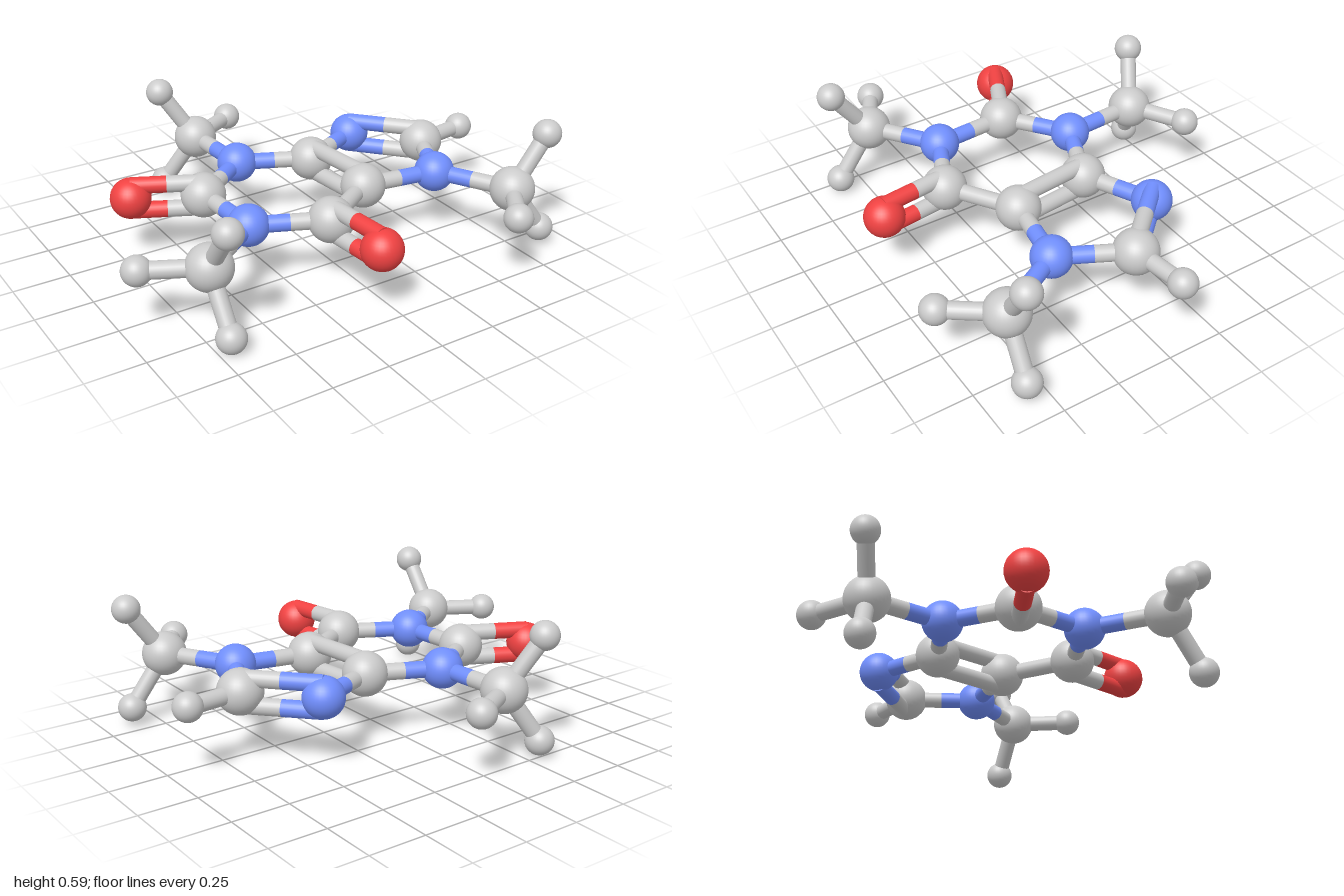
import * as THREE from 'three';

const grey = new THREE.MeshStandardMaterial({ color: 0xcccccc });
const blue = new THREE.MeshStandardMaterial({ color: 0x718fff });
const red = new THREE.MeshStandardMaterial({ color: 0xf04242 });

// Radius and material of each kind of atom
const kinds = {
  carbon: { radius: 0.097, material: grey },
  nitrogen: { radius: 0.088, material: blue },
  oxygen: { radius: 0.088, material: red },
  hydrogen: { radius: 0.062, material: grey },
};

const STICK = 0.036;   // stick radius
const SPREAD = 0.058;  // vertical offset of each stick in a double bond

// Atoms: kind, x, y, z
const atoms = {
  c2: ['carbon', -0.43, 0.295, -0.105],
  n1: ['nitrogen', -0.155, 0.3, -0.305],
  n3: ['nitrogen', -0.405, 0.295, 0.235],
  c6: ['carbon', -0.1, 0.3, 0.38],
  c5: ['carbon', 0.19, 0.3, 0.19],
  c4: ['carbon', 0.15, 0.3, -0.165],
  n7: ['nitrogen', 0.455, 0.305, -0.305],
  c8: ['carbon', 0.685, 0.305, 0.0 - 0.05],
  n9: ['nitrogen', 0.53, 0.305, 0.25],
  o2: ['oxygen', -0.705, 0.295, -0.24],
  o6: ['oxygen', -0.065, 0.295, 0.685],
  h8: ['hydrogen', 0.938, 0.308, -0.085],
  // Methyl groups
  ma: ['carbon', 0.705, 0.305, 0.565],
  ha1: ['hydrogen', 0.865, 0.53, 0.58],
  ha2: ['hydrogen', 0.867, 0.083, 0.58],
  ha3: ['hydrogen', 0.545, 0.305, 0.785],
  mb: ['carbon', -0.18, 0.3, -0.66],
  hb1: ['hydrogen', -0.315, 0.525, -0.74],
  hb2: ['hydrogen', -0.313, 0.075, -0.74],
  hb3: ['hydrogen', 0.063, 0.3, -0.797],
  mc: ['carbon', -0.695, 0.293, 0.445],
  hc1: ['hydrogen', -0.7, 0.513, 0.61],
  hc2: ['hydrogen', -0.698, 0.067, 0.61],
  hc3: ['hydrogen', -0.938, 0.29, 0.318],
};

const singleBonds = [
  'c2 n1', 'c2 n3', 'n3 c6', 'c6 c5', 'c4 n1', 'c4 n7', 'c8 n9', 'n9 c5', 'c8 h8',
  'n9 ma', 'n1 mb', 'n3 mc',
  'ma ha1', 'ma ha2', 'ma ha3', 'mb hb1', 'mb hb2', 'mb hb3', 'mc hc1', 'mc hc2', 'mc hc3',
];
const doubleBonds = ['c2 o2', 'c6 o6', 'c4 c5', 'c8 n7'];

const position = (id) => new THREE.Vector3(...atoms[id].slice(1));

// Cylinder between two points
function stick(from, to, material) {
  const along = to.clone().sub(from);
  const mesh = new THREE.Mesh(
    new THREE.CylinderGeometry(STICK, STICK, along.length(), 24), material);
  mesh.position.copy(from).addScaledVector(along, 0.5);
  mesh.quaternion.setFromUnitVectors(new THREE.Vector3(0, 1, 0), along.normalize());
  mesh.name = 'bondHalf';
  return mesh;
}

// Bond split at the middle, each half coloured like its atom
function bond(pair, offsets, name) {
  const group = new THREE.Group();
  group.name = name;
  const [a, b] = pair.split(' ');
  for (const dy of offsets) {
    const start = position(a), end = position(b);
    start.y += dy;
    end.y += dy;
    const middle = start.clone().lerp(end, 0.5);
    group.add(stick(start, middle, kinds[atoms[a][0]].material));
    group.add(stick(middle, end, kinds[atoms[b][0]].material));
  }
  return group;
}

export function createModel() {
  const model = new THREE.Group();
  model.name = 'moleculeModel';

  // Atom balls
  for (const [id, [kind]] of Object.entries(atoms)) {
    const { radius, material } = kinds[kind];
    const ball = new THREE.Mesh(new THREE.SphereGeometry(radius, 32, 20), material);
    ball.position.copy(position(id));
    ball.name = kind + 'Atom';
    model.add(ball);
  }

  // Connecting sticks; double bonds are stacked one above the other
  for (const pair of singleBonds) model.add(bond(pair, [0], 'singleBond'));
  for (const pair of doubleBonds) model.add(bond(pair, [-SPREAD, SPREAD], 'doubleBond'));

  return model;
}
